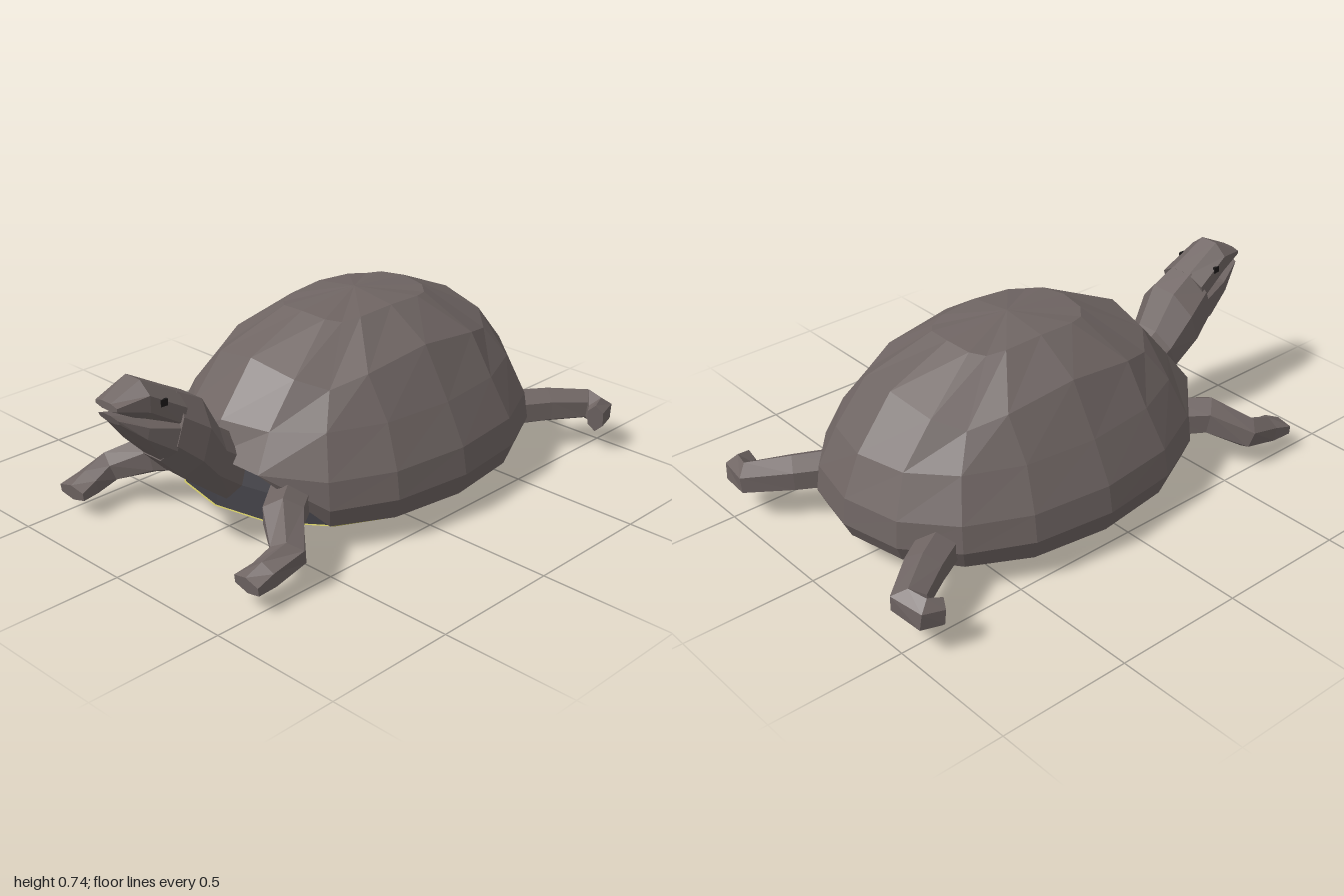
import * as THREE from 'three';

const V = (x, y, z) => new THREE.Vector3(x, y, z);

const mat = (name, color, side = THREE.FrontSide) => {
  const m = new THREE.MeshStandardMaterial({ color, flatShading: true, side });
  m.name = name;
  return m;
};

// Skin a list of equal-sized rings; optional flat caps at both ends
function loft(rings, capped = true) {
  const pos = [];
  const n = rings[0].length;
  const tri = (...pts) => pts.forEach((p) => pos.push(p.x, p.y, p.z));
  const mid = (r) => r.reduce((s, p) => s.add(p), V(0, 0, 0)).divideScalar(n);
  const first = rings[0], last = rings[rings.length - 1];
  const c0 = mid(first), c1 = mid(last);
  for (let j = 0; j < n; j++) {
    const k = (j + 1) % n;
    for (let i = 0; i < rings.length - 1; i++) {
      const a = rings[i], b = rings[i + 1];
      tri(a[j], a[k], b[k]);
      tri(a[j], b[k], b[j]);
    }
    if (capped) {
      tri(c0, first[k], first[j]);
      tri(c1, last[j], last[k]);
    }
  }
  const g = new THREE.BufferGeometry();
  g.setAttribute('position', new THREE.Float32BufferAttribute(pos, 3));
  g.computeVertexNormals();
  return g;
}

// Polygon ring around c with half axes a and b
function polygon(c, a, b, n) {
  const f = 1 / Math.cos(Math.PI / n);
  return Array.from({ length: n }, (_, j) => {
    const t = ((j + 0.5) / n) * Math.PI * 2;
    return c.clone().addScaledVector(a, f * Math.cos(t)).addScaledVector(b, f * Math.sin(t));
  });
}

// Limb along a path of [x, y, z, halfWidth, halfHeight]
function limb(path) {
  const pts = path.map((p) => V(p[0], p[1], p[2]));
  return loft(path.map((p, i) => {
    const t = pts[Math.min(i + 1, pts.length - 1)].clone().sub(pts[Math.max(i - 1, 0)]).normalize();
    const side = V(0, 1, 0).cross(t).normalize();
    const up = t.clone().cross(side);
    return polygon(pts[i], side.multiplyScalar(p[3]), up.multiplyScalar(p[4]), 6);
  }));
}

// Head and neck sections: [topZ, topY, bottomZ, bottomY, halfWidth]
const neckLoft = (sections) => loft(sections.map(([zt, yt, zb, yb, w]) =>
  polygon(V(0, (yt + yb) / 2, (zt + zb) / 2), V(w, 0, 0), V(0, (yt - yb) / 2, (zt - zb) / 2), 8)));

// Sixteen-sided rounded oval of the body, starting at the front;
// a lower power is squarer, drop lowers its corners
const SIDES = 16, CZ = -0.13;
function oval(rx, rz, y, endLift = 0, power = 0.9, drop = 0) {
  const soft = (v) => Math.sign(v) * Math.abs(v) ** power;
  return Array.from({ length: SIDES }, (_, j) => {
    const t = (j / SIDES) * Math.PI * 2;
    const s = Math.sin(t), c = Math.cos(t);
    return V(rx * soft(s), y + endLift * c * c - drop * 4 * s * s * c * c, CZ + rz * soft(c));
  });
}

export function createModel() {
  const group = new THREE.Group();
  const skin = mat('brown grey', 0x6f6563);
  const shellMat = mat('shell brown grey', 0x6f6563, THREE.DoubleSide);
  const olive = mat('olive yellow', 0xcdc562);
  const slate = mat('slate', 0x3d3c42);
  const black = mat('black', 0x1c1a1a);
  const add = (name, geometry, material, parent = group) => {
    const m = new THREE.Mesh(geometry, material);
    m.name = name;
    parent.add(m);
    return m;
  };

  // Domed shell with an arch cut into the front rim
  const shell = [
    oval(0.52, 0.70, 0.085, 0.025),
    oval(0.55, 0.73, 0.17),
    oval(0.532, 0.72, 0.27),
    oval(0.455, 0.655, 0.42),
    oval(0.345, 0.51, 0.605, 0, 0.65, 0.07),
    oval(0.18, 0.265, 0.71, 0, 0.6, 0.017),
    oval(0, 0, 0.735),
  ];
  for (const j of [0, 1, SIDES - 1]) {
    shell[2][j].y = 0.3;
    shell[2][j].z = 0.565;
    shell[0][j].copy(shell[2][j]);
    shell[1][j].copy(shell[2][j]);
  }
  add('shell', loft(shell, false), shellMat);

  // Dark body inside the arch, reaching the edge of the belly plate
  add('innerBody', loft([
    oval(0.508, 0.688, 0.086, 0.02),
    oval(0.49, 0.67, 0.2),
    oval(0.45, 0.64, 0.31),
  ]), slate);

  // Belly plate
  add('bellyPlate', loft([
    oval(0.22, 0.33, 0),
    oval(0.41, 0.55, 0.018, 0.012),
    oval(0.515, 0.695, 0.085, 0.02),
  ]), olive);

  // Neck, upper head and jaw, leaving a narrow open mouth
  const head = new THREE.Group();
  head.name = 'head';
  group.add(head);
  add('neck', neckLoft([
    [0.42, 0.32, 0.52, 0.12, 0.09],
    [0.57, 0.42, 0.65, 0.22, 0.105],
    [0.65, 0.555, 0.74, 0.295, 0.127],
    [0.75, 0.61, 0.83, 0.385, 0.108],
  ]), skin, head);
  add('upperHead', neckLoft([
    [0.74, 0.605, 0.78, 0.48, 0.1],
    [0.89, 0.69, 0.89, 0.55, 0.085],
    [1.0, 0.637, 1.0, 0.61, 0.055],
  ]), skin, head);
  add('jaw', neckLoft([
    [0.77, 0.56, 0.82, 0.38, 0.106],
    [0.89, 0.565, 0.915, 0.475, 0.084],
    [1.0, 0.594, 0.985, 0.56, 0.05],
  ]), skin, head);

  // Paired eyes and legs
  const frontLeg = [
    [0.24, 0.19, 0.42, 0.07, 0.07],
    [0.34, 0.19, 0.56, 0.068, 0.065],
    [0.46, 0.13, 0.655, 0.058, 0.052],
    [0.46, 0.1, 0.76, 0.05, 0.045],
    [0.455, 0.09, 0.835, 0.06, 0.026],
  ];
  const backLeg = [
    [0.27, 0.175, -0.62, 0.07, 0.065],
    [0.38, 0.17, -0.81, 0.065, 0.06],
    [0.475, 0.16, -0.945, 0.058, 0.052],
    [0.545, 0.15, -0.935, 0.045, 0.055],
    [0.565, 0.145, -0.88, 0.03, 0.048],
  ];
  for (const s of [1, -1]) {
    const side = s > 0 ? 'left' : 'right';
    const mirror = (path) => path.map(([x, ...rest]) => [s * x, ...rest]);
    add(side + 'FrontLeg', limb(mirror(frontLeg)), skin);
    add(side + 'BackLeg', limb(mirror(backLeg)), skin);
    const eye = add(side + 'Eye', new THREE.BoxGeometry(0.009, 0.024, 0.026), black, head);
    eye.position.set(s * 0.089, 0.612, 0.84);
    eye.rotation.y = -s * 0.1;
  }
  return group;
}
